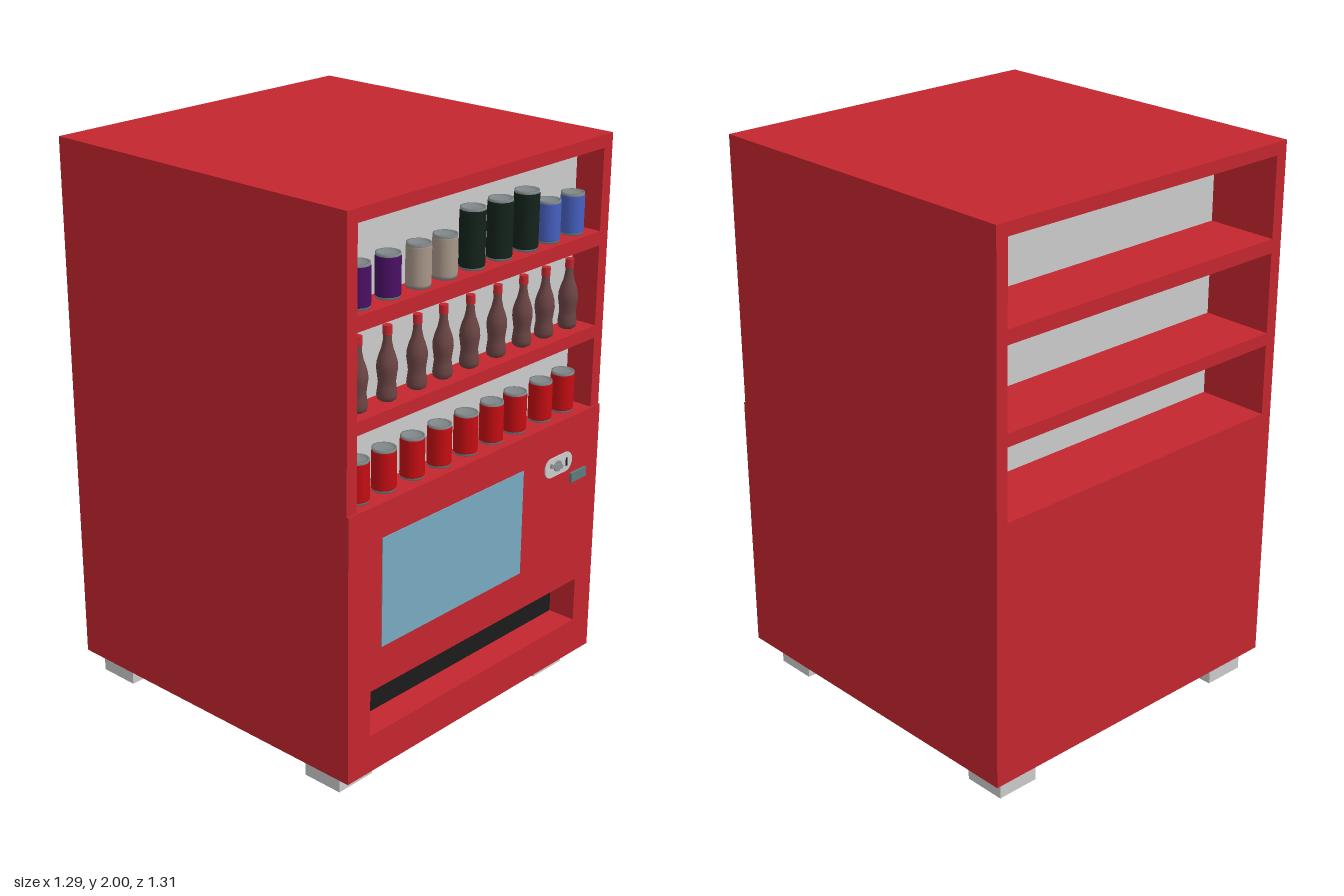
import * as THREE from 'three';

const material = (color, side = THREE.FrontSide) =>
  new THREE.MeshStandardMaterial({ color, side });
const RED = material(0xc4262e), GREY = material(0xcccccc), BLACK = material(0x1b1b1b);
const METAL = material(0x8b9194), GLASS = material(0x78aac0), STEEL = material(0x5f7a7c);
const RIM = material(0x7f8688, THREE.DoubleSide);

function add(parent, name, geometry, mat, x = 0, y = 0, z = 0) {
  const mesh = new THREE.Mesh(geometry, mat);
  mesh.name = name;
  mesh.position.set(x, y, z);
  parent.add(mesh);
  return mesh;
}

// Box given by its limits on each axis
function block(parent, name, mat, x0, x1, y0, y1, z0, z1) {
  return add(parent, name, new THREE.BoxGeometry(x1 - x0, y1 - y0, z1 - z0), mat,
    (x0 + x1) / 2, (y0 + y1) / 2, (z0 + z1) / 2);
}

const lathe = (points, segments = 24) =>
  new THREE.LatheGeometry(points.map(([r, y]) => new THREE.Vector2(r, y)), segments);

// Drink can: coloured wall, metal rims and a sunken lid
function can(parent, name, mat, x, y, z, r, h) {
  const group = new THREE.Group();
  group.name = name;
  group.position.set(x, y, z);
  add(group, 'canWall', lathe([[r * 0.97, 0.008], [r, 0.014], [r, h - 0.014], [r * 0.97, h - 0.008]]), mat);
  add(group, 'canBase', lathe([[0, 0.004], [r * 0.8, 0], [r * 0.95, 0], [r * 0.97, 0.008]]), RIM);
  add(group, 'canLid', lathe([[r * 0.97, h - 0.008], [r * 0.97, h], [r * 0.82, h],
    [r * 0.78, h - 0.008], [0, h - 0.008]]), RIM);
  parent.add(group);
}

// Contoured bottle with a cap
function bottle(parent, mat, x, y, z) {
  const group = new THREE.Group();
  group.name = 'bottle';
  group.position.set(x, y, z);
  add(group, 'bottleBody', lathe([[0, 0.004], [0.022, 0], [0.03, 0.006], [0.033, 0.02], [0.03, 0.045],
    [0.028, 0.06], [0.031, 0.085], [0.034, 0.105], [0.033, 0.125], [0.027, 0.148],
    [0.019, 0.17], [0.014, 0.195], [0.013, 0.218]]), mat);
  add(group, 'bottleCap', new THREE.CylinderGeometry(0.015, 0.015, 0.03, 20), RED, 0, 0.23, 0);
  parent.add(group);
}

function rectPath(path, x0, x1, y0, y1) {
  path.moveTo(x0, y0);
  path.lineTo(x1, y0);
  path.lineTo(x1, y1);
  path.lineTo(x0, y1);
  path.closePath();
  return path;
}

export function createModel() {
  const model = new THREE.Group();
  model.name = 'vendingMachine';
  const W = 0.645, BACK = -0.655, FRONT = 0.638, LOW_FRONT = 0.645;

  // Cabinet: lower body, side walls, roof and shelves open at front and back
  block(model, 'lowerBody', RED, -W, W, 0.085, 1.035, BACK, 0.535);
  for (const s of [-1, 1]) {
    const wall = block(model, s < 0 ? 'rightWall' : 'leftWall', RED, 0.6, W, 1.035, 2, BACK, FRONT);
    wall.position.x *= s;
  }
  block(model, 'roof', RED, -0.6, 0.6, 1.955, 2, BACK, FRONT);
  for (const [y0, y1] of [[1.29, 1.335], [1.62, 1.67]])
    block(model, 'shelf', RED, -0.6, 0.6, y0, y1, BACK, FRONT);

  // Grey core filling each bay between the front and rear recesses
  for (const [y0, y1] of [[1.035, 1.29], [1.335, 1.62], [1.67, 1.955]])
    block(model, 'bayBackPanel', GREY, -0.6, 0.6, y0, y1, -0.39, 0.53);

  // Lower front panel with the delivery slot cut through
  const panel = rectPath(new THREE.Shape(), -W, W, 0.085, 1.035);
  panel.holes.push(rectPath(new THREE.Path(), -0.54, 0.55, 0.22, 0.385));
  add(model, 'frontPanel', new THREE.ExtrudeGeometry(panel, { depth: LOW_FRONT - 0.535, bevelEnabled: false }),
    RED, 0, 0, 0.535);
  block(model, 'slotBack', BLACK, -0.54, 0.55, 0.22, 0.385, 0.53, 0.54);
  block(model, 'displayWindow', GLASS, -0.49, 0.22, 0.53, 0.915, 0.64, 0.648);

  // Lock plate with round ends, turning lever and key slot
  const plate = new THREE.Shape();
  plate.absarc(0.04, 0, 0.036, -Math.PI / 2, Math.PI / 2);
  plate.absarc(-0.04, 0, 0.036, Math.PI / 2, Math.PI * 1.5);
  const lock = new THREE.Group();
  lock.name = 'lock';
  lock.position.set(0.415, 0.875, 0.643);
  model.add(lock);
  add(lock, 'lockPlate', new THREE.ExtrudeGeometry(plate, { depth: 0.006, bevelEnabled: false }), GREY);
  const knob = add(lock, 'lockKnob', new THREE.CylinderGeometry(0.02, 0.02, 0.01, 24), METAL, -0.008, 0, 0.006);
  knob.rotation.x = Math.PI / 2;
  const lever = add(lock, 'lockLever', new THREE.BoxGeometry(0.07, 0.014, 0.006), METAL, -0.018, 0.002, 0.011);
  lever.rotation.z = -0.3;
  add(lock, 'keySlot', new THREE.BoxGeometry(0.008, 0.03, 0.004), BLACK, 0.043, 0, 0.006);
  block(model, 'coinReturn', STEEL, 0.485, 0.57, 0.787, 0.822, 0.64, 0.655);

  // Feet
  for (const x of [-0.52, 0.515])
    for (const z of [0.488, -0.538])
      add(model, 'foot', new THREE.BoxGeometry(0.16, 0.1, 0.155), GREY, x, 0.05, z);

  // Goods on display
  const Z = 0.578;
  const columns = [-0.535, -0.4, -0.26, -0.135, -0.003, 0.135, 0.27, 0.39, 0.52];
  const purple = material(0x4b1066), tan = material(0xa89789);
  const dark = material(0x14231b), blue = material(0x4660c0);
  const topRow = [purple, purple, tan, tan, dark, dark, dark, blue, blue];
  const canRed = material(0xc40d12), brown = material(0x6b4444);
  const bottomRow = [-0.535, -0.41, -0.275, -0.143, -0.01, 0.123, 0.247, 0.387, 0.51];
  columns.forEach((x, i) => {
    const tall = topRow[i] === dark;
    can(model, tall ? 'tallCan' : 'topCan', topRow[i], x, 1.67, Z, tall ? 0.043 : 0.041, tall ? 0.2 : 0.142);
    bottle(model, brown, x, 1.335, Z);
    can(model, 'bottomCan', canRed, bottomRow[i], 1.036, Z, 0.041, 0.144);
  });
  return model;
}
